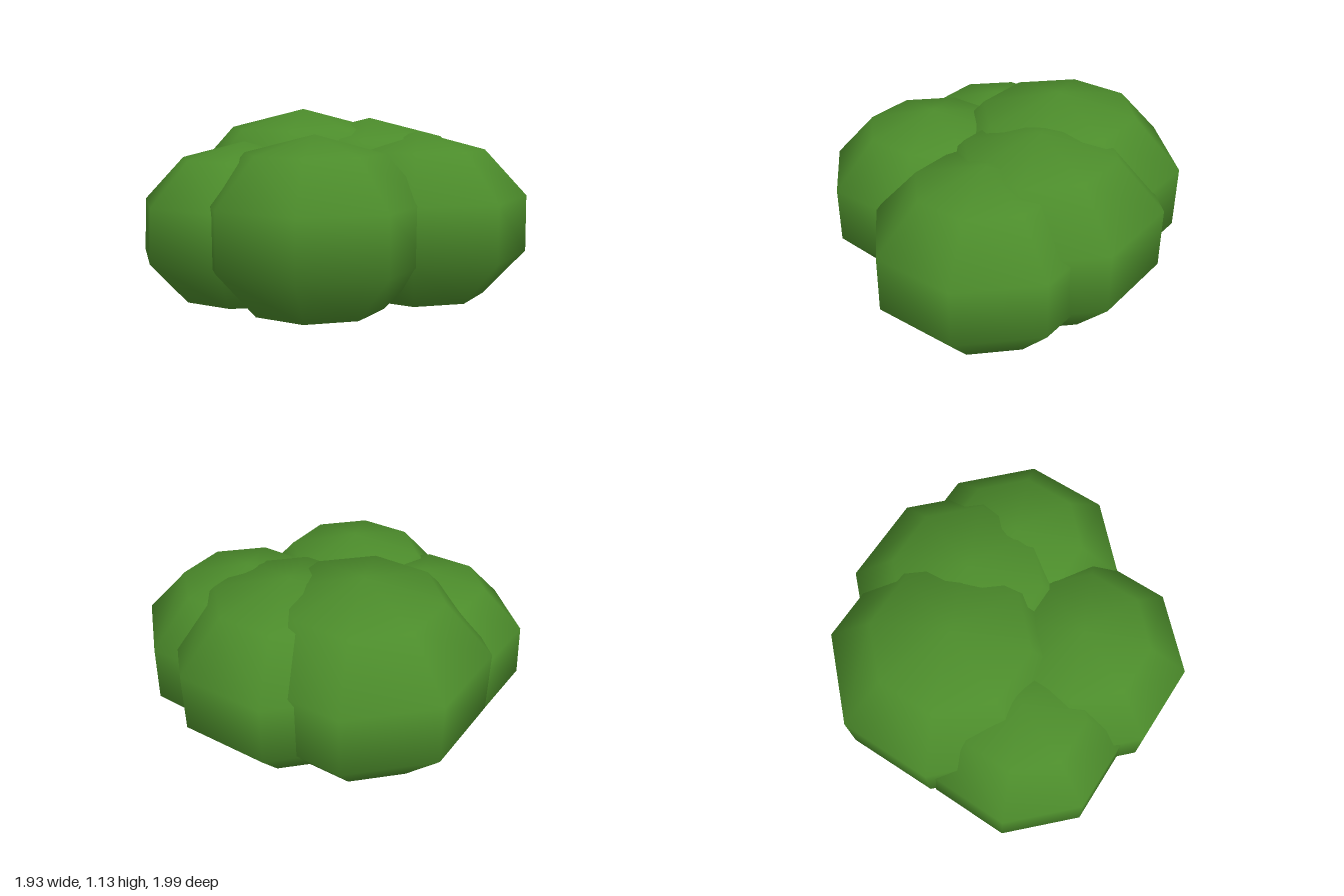
import * as THREE from 'three';

// One rounded, low-poly clump of leaves; taper widens the top (+) or bottom (-)
function makeLobe({ name, center, radius, taper }, material) {
  const geometry = new THREE.SphereGeometry(1, 8, 5);
  const p = geometry.attributes.position;
  const n = geometry.attributes.normal;
  const normal = new THREE.Vector3();
  for (let i = 0; i < p.count; i++) {
    const x = p.getX(i), y = p.getY(i), z = p.getZ(i);
    const k = 1 + taper * y;
    p.setXYZ(i, x * radius[0] * k, y * radius[1], z * radius[2] * k);
    // smooth shading across the seam
    normal.set(x / radius[0], y / radius[1], z / radius[2]).normalize();
    n.setXYZ(i, normal.x, normal.y, normal.z);
  }
  const mesh = new THREE.Mesh(geometry, material);
  mesh.name = name;
  mesh.position.set(...center);
  return mesh;
}

export function createModel() {
  const bush = new THREE.Group();
  bush.name = 'bush';
  const foliage = new THREE.MeshStandardMaterial({ color: 0x4c8c2b });

  // Five overlapping lobes of foliage
  const lobes = [
    { name: 'rightLobe', center: [-0.28, 0.565, -0.07], radius: [0.72, 0.565, 0.71], taper: 0.015 },
    { name: 'backLobe', center: [0.005, 0.545, -0.34], radius: [0.69, 0.535, 0.69], taper: 0.01 },
    { name: 'backLeftLobe', center: [0.355, 0.515, -0.395], radius: [0.64, 0.5, 0.625], taper: -0.01 },
    { name: 'frontLeftLobe', center: [0.31, 0.52, 0.285], radius: [0.625, 0.5, 0.625], taper: 0 },
    { name: 'frontLobe', center: [-0.165, 0.495, 0.415], radius: [0.595, 0.47, 0.605], taper: -0.03 },
  ];
  for (const lobe of lobes) bush.add(makeLobe(lobe, foliage));

  return bush;
}
